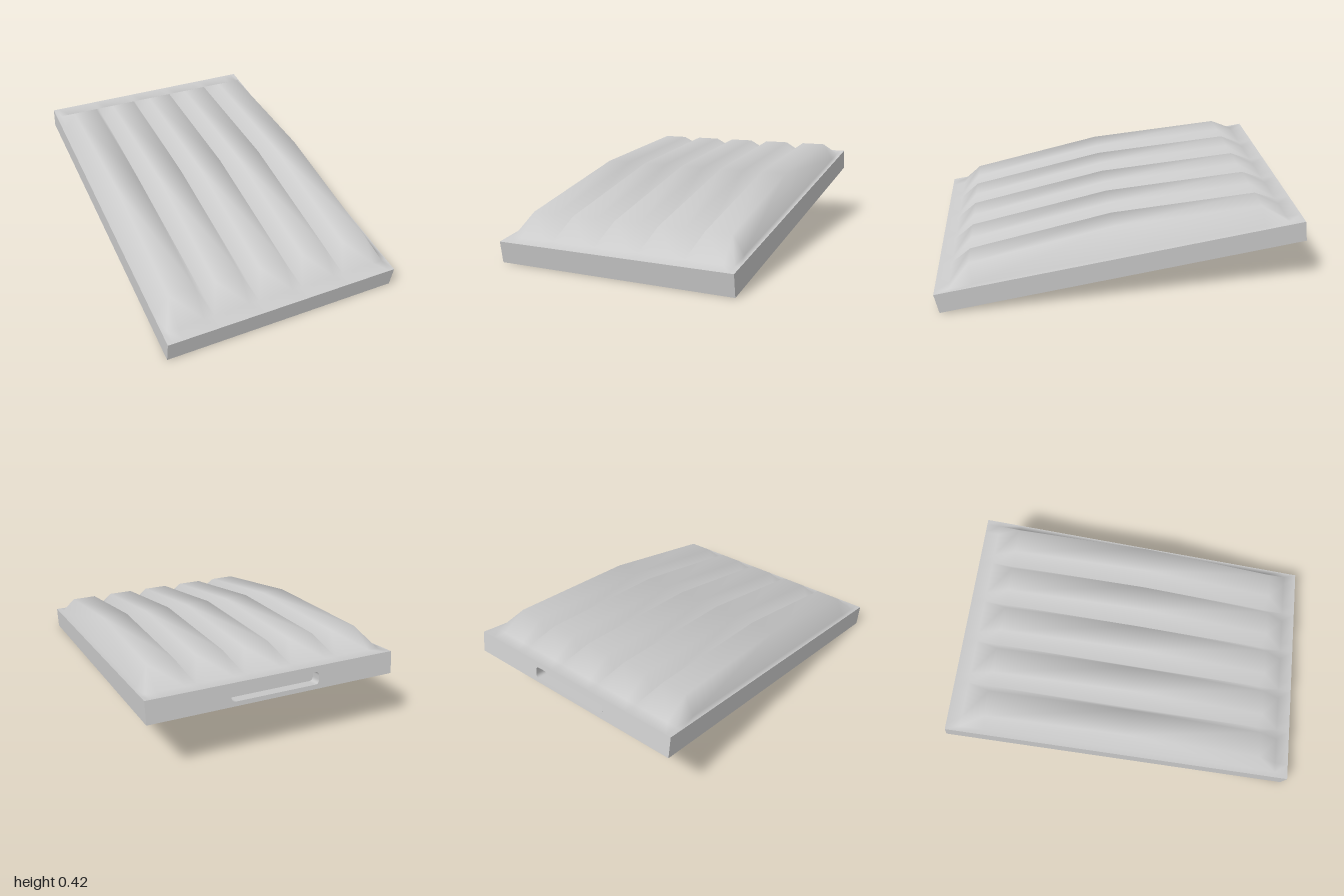
import * as THREE from 'three';

const L = 0.833, W = 0.557, H = 0.1; // half length, half width, frame height
const material = new THREE.MeshStandardMaterial({ color: 0xcccccc, side: THREE.DoubleSide });

function add(parent, name, geometry) {
  const mesh = new THREE.Mesh(geometry, material);
  mesh.name = name;
  parent.add(mesh);
  return mesh;
}

// Pressed panel: five arched, trapezoid ribs with hipped ends inside a flat border
function ribbedPanel() {
  const pitch = 0.213, crest = 0.06, ribs = 5;
  const first = -pitch * ribs / 2;
  const columns = [{ v: -W, k: 0 }, { v: first, k: 0 }];
  for (let i = 0; i < ribs; i++) {
    const mid = first + pitch * (i + 0.5);
    columns.push({ v: mid - crest, k: 1 }, { v: mid + crest, k: 1 }, { v: mid + pitch / 2, k: 0 });
  }
  columns.push({ v: W, k: 0 });
  const rows = [[-L, 0], [-0.768, 0], [-0.66, 0.083], [0, 0.125], [0.66, 0.083], [0.768, 0], [L, 0]];

  const positions = [], index = [], n = columns.length;
  for (const [u, rise] of rows)
    for (const { v, k } of columns) positions.push(u, H + rise * k, v);
  const y = i => positions[i * 3 + 1];
  for (let r = 0; r < rows.length - 1; r++) {
    for (let c = 0; c < n - 1; c++) {
      const a = r * n + c, b = a + 1, d = a + n, e = d + 1;
      // split along the higher diagonal so that the hips run down to the corners
      if (y(a) + y(e) > y(b) + y(d)) index.push(a, b, e, a, e, d);
      else index.push(a, b, d, b, e, d);
    }
  }
  const g = new THREE.BufferGeometry();
  g.setAttribute('position', new THREE.Float32BufferAttribute(positions, 3));
  g.setIndex(index);
  g.computeVertexNormals();
  return g;
}

function roundedSlot(Type, halfWidth, low, high, r) {
  const s = new Type();
  s.moveTo(-halfWidth + r, low);
  s.lineTo(halfWidth - r, low);
  s.quadraticCurveTo(halfWidth, low, halfWidth, low + r);
  s.lineTo(halfWidth, high - r);
  s.quadraticCurveTo(halfWidth, high, halfWidth - r, high);
  s.lineTo(-halfWidth + r, high);
  s.quadraticCurveTo(-halfWidth, high, -halfWidth, high - r);
  s.lineTo(-halfWidth, low + r);
  s.quadraticCurveTo(-halfWidth, low, -halfWidth + r, low);
  return s;
}

export function createModel() {
  const model = new THREE.Group();
  model.name = 'ribbedCover';
  const cover = new THREE.Group();
  cover.name = 'tiltedCover';
  model.add(cover);

  add(cover, 'ribbedPanel', ribbedPanel());

  // Thin skirt walls, open underneath
  for (const s of [-1, 1]) {
    const side = add(cover, s > 0 ? 'frontSkirt' : 'backSkirt', new THREE.PlaneGeometry(2 * L, H));
    side.position.set(0, H / 2, s * W);
    if (s < 0) side.rotation.y = Math.PI;
  }
  const lowWall = add(cover, 'lowEndSkirt', new THREE.PlaneGeometry(2 * W, H));
  lowWall.position.set(L, H / 2, 0);
  lowWall.rotation.y = Math.PI / 2;

  // High end wall with a recessed hand grip
  const wall = new THREE.Shape([[-W, 0], [W, 0], [W, H], [-W, H]].map(p => new THREE.Vector2(...p)));
  const slot = [0.2, 0.02, 0.075, 0.02], depth = 0.05;
  wall.holes.push(roundedSlot(THREE.Path, ...slot));
  const grip = new THREE.Group();
  grip.name = 'highEnd';
  grip.position.x = -L;
  grip.rotation.y = -Math.PI / 2;
  cover.add(grip);
  add(grip, 'highEndSkirt', new THREE.ShapeGeometry(wall));

  // Pocket behind the slot: side band and back plate
  const outline = roundedSlot(THREE.Shape, ...slot);
  const points = outline.getPoints(6);
  const band = new THREE.BufferGeometry();
  const positions = [], index = [];
  points.forEach((p, i) => {
    positions.push(p.x, p.y, 0, p.x, p.y, -depth);
    if (i) index.push(2 * i - 2, 2 * i, 2 * i - 1, 2 * i, 2 * i + 1, 2 * i - 1);
  });
  band.setAttribute('position', new THREE.Float32BufferAttribute(positions, 3));
  band.setIndex(index);
  band.computeVertexNormals();
  add(grip, 'gripPocket', band);
  add(grip, 'gripBack', new THREE.ShapeGeometry(outline)).position.z = -depth;

  // Tilt down toward the low end, then turn about the vertical
  cover.rotation.set(0, -0.488, -0.163, 'YZX');
  cover.position.set(-0.007, L * Math.sin(0.163), -0.004);
  return model;
}
